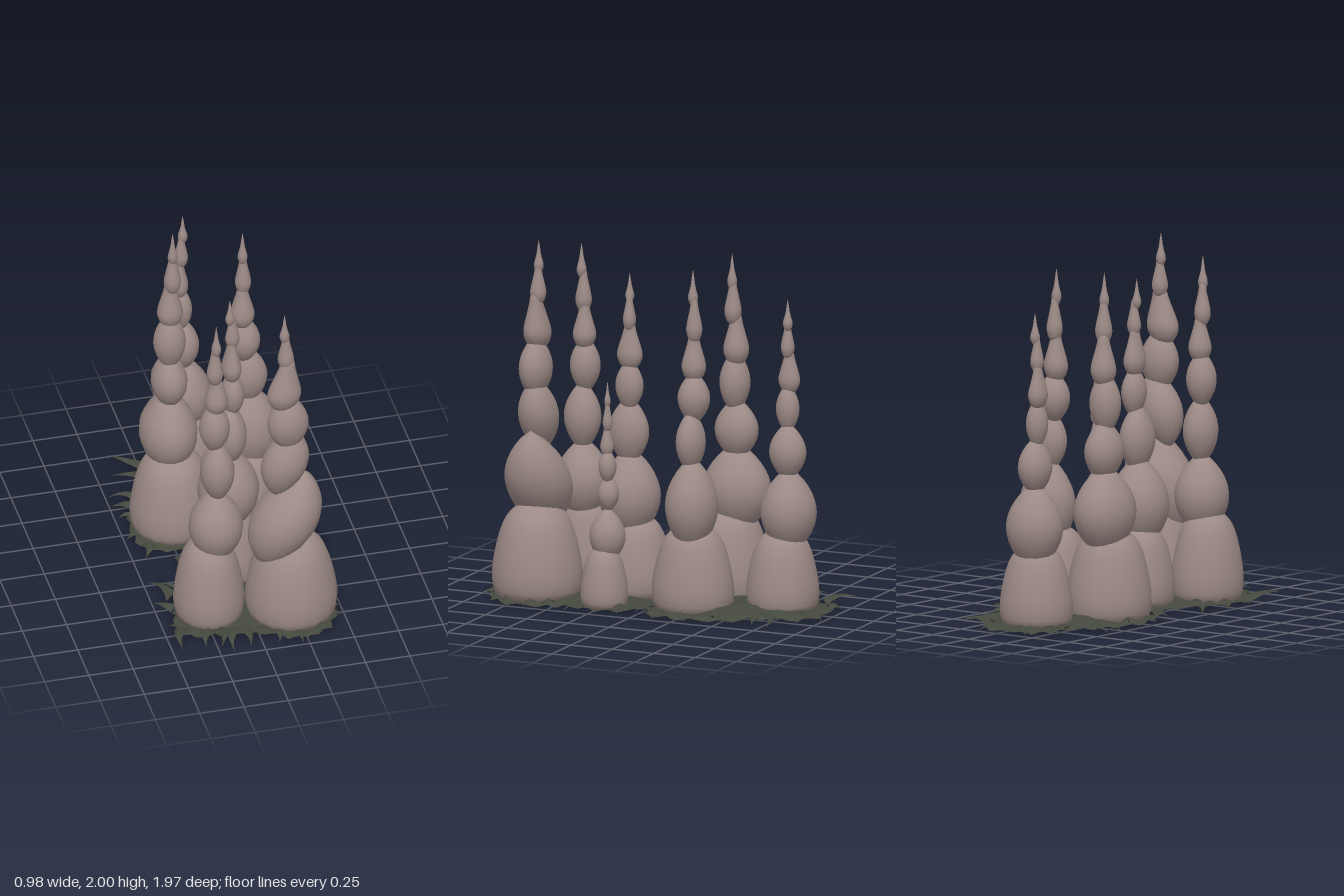
import * as THREE from 'three';

const stone = new THREE.MeshStandardMaterial({ color: 0x9c8a86 });
const moss = new THREE.MeshStandardMaterial({ color: 0x45483d, side: THREE.DoubleSide });

const SIDES = 18;
const spline = (points, n) =>
  new THREE.SplineCurve(points.map(([r, y]) => new THREE.Vector2(r, y))).getPoints(n);

// Profiles are unit radius by unit height
const basePoints = spline([[0.78, 0], [0.95, 0.07], [1, 0.24], [0.94, 0.46], [0.81, 0.7],
  [0.64, 0.86], [0.38, 0.96], [0, 1]], 16);
const bulbPoints = Array.from({ length: 15 }, (_, i) =>
  new THREE.Vector2(Math.max(0, Math.sin(Math.PI * i / 14)) ** 0.75, i / 14));
const dropPoints = spline([[0, 0], [0.62, 0.09], [0.95, 0.24], [0.97, 0.38], [0.74, 0.58],
  [0.5, 0.78], [0.36, 0.93], [0, 1]], 14);
const tipPoints = spline([[0, 0], [0.6, 0.06], [1, 0.24], [0.72, 0.42], [0.42, 0.6], [0.24, 0.8], [0, 1]], 10);

// One swollen segment: y from, y to, centre x and z, radius along x and z, lean along x
function segment(name, points, [y0, y1, x, z, rx, rz = rx, lean = 0], turn) {
  const g = new THREE.LatheGeometry(points, SIDES);
  g.rotateY(turn);
  g.scale(rx, y1 - y0, rz);
  g.applyMatrix4(new THREE.Matrix4().makeShear(0, 0, lean, 0, 0, 0));
  g.translate(x - lean * (y1 - y0) / 2, y0, z);
  const mesh = new THREE.Mesh(g, stone);
  mesh.name = name;
  return mesh;
}

// Stack of segments: a dome, round bulbs, teardrops and a pointed tip
function spire(name, rows) {
  const group = new THREE.Group();
  group.name = name;
  rows.forEach((row, i) => {
    const last = i === rows.length - 1;
    const label = i === 0 ? 'base' : last ? 'tip' : 'bulb' + i;
    const points = i === 0 ? basePoints : last ? tipPoints : i < 4 ? bulbPoints : dropPoints;
    group.add(segment(label, points, row, i * 0.7));
  });
  return group;
}

// Mossy mat: a closed outline filled by rings that rise toward the middle
function mat(name, outline, center, rise) {
  const curve = new THREE.CatmullRomCurve3(outline.map(([x, z]) => new THREE.Vector3(x, 0, z)), true);
  const n = 72, rings = 6, pos = [], index = [];
  for (let r = 0; r <= rings; r++) {
    for (let i = 0; i < n; i++) {
      const p = curve.getPoint(i / n);
      const k = r / rings;
      const ragged = r === 0 ? 1 + 0.03 * Math.sin(i * 2.4) : 1;
      const y = 0.012 + rise * Math.min(1, k * 3) + 0.008 * (1 - k) ** 2 * Math.sin(i * 1.7 + r * 2);
      pos.push(center[0] + (p.x - center[0]) * (1 - k) * ragged, y,
        center[1] + (p.z - center[1]) * (1 - k) * ragged);
      if (r < rings) {
        const a = r * n + i, b = r * n + (i + 1) % n;
        index.push(a, a + n, b, b, a + n, b + n);
      }
    }
  }
  const g = new THREE.BufferGeometry();
  g.setAttribute('position', new THREE.Float32BufferAttribute(pos, 3));
  g.setIndex(index);
  g.computeVertexNormals();
  const mesh = new THREE.Mesh(g, moss);
  mesh.name = name;
  return mesh;
}

// Curved blade of moss from a root to a pointed tip
function blade([rx, rz, tx, tz], i) {
  const dx = tx - rx, dz = tz - rz, len = Math.hypot(dx, dz);
  const nx = -dz / len, nz = dx / len, bend = (i % 2 ? 1 : -1) * len * 0.1;
  const pos = [], index = [], steps = 5;
  for (let s = 0; s <= steps; s++) {
    const t = s / steps, w = 0.045 * (1 - t) ** 1.3, b = bend * Math.sin(Math.PI * t);
    const x = rx + dx * t + nx * b, z = rz + dz * t + nz * b;
    const y = 0.035 + 0.02 * Math.sin(Math.PI * t) - 0.03 * t * (i % 3 ? 1 : 0);
    pos.push(x + nx * w, y - 0.015 * (1 - t), z + nz * w, x, y + 0.012 * (1 - t), z,
      x - nx * w, y - 0.015 * (1 - t), z - nz * w);
    if (s < steps) {
      for (let k = 0; k < 2; k++) {
        const a = s * 3 + k;
        index.push(a, a + 3, a + 1, a + 1, a + 3, a + 4);
      }
    }
  }
  const g = new THREE.BufferGeometry();
  g.setAttribute('position', new THREE.Float32BufferAttribute(pos, 3));
  g.setIndex(index);
  g.computeVertexNormals();
  const mesh = new THREE.Mesh(g, moss);
  mesh.name = 'mossBlade';
  return mesh;
}

export function createModel() {
  const model = new THREE.Group();
  model.name = 'spireCluster';

  model.add(spire('frontLeftSpire', [
    [0.01, 0.55, 0.222, 0.68, 0.255, 0.25], [0.34, 0.95, 0.185, 0.69, 0.19, 0.185, 0.34],
    [0.8, 1.24, 0.185, 0.69, 0.13, 0.11, 0.2], [1.1, 1.47, 0.2, 0.7, 0.115, 0.09],
    [1.37, 1.72, 0.185, 0.7, 0.095, 0.075, 0.1], [1.63, 1.87, 0.19, 0.69, 0.045, 0.045],
    [1.81, 2, 0.183, 0.69, 0.028]]));
  model.add(spire('frontRightSpire', [
    [0.01, 0.52, -0.22, 0.59, 0.195, 0.21], [0.35, 0.83, -0.18, 0.59, 0.15, 0.155],
    [0.75, 1.15, -0.172, 0.59, 0.095, 0.105], [1.07, 1.4, -0.185, 0.58, 0.085, 0.085],
    [1.32, 1.6, -0.175, 0.58, 0.065], [1.52, 1.78, -0.185, 0.59, 0.046],
    [1.72, 1.92, -0.18, 0.6, 0.028]]));
  model.add(spire('middleSpire', [
    [0.01, 0.47, -0.03, 0.21, 0.205, 0.215], [0.3, 0.84, -0.02, 0.235, 0.17, 0.172],
    [0.73, 1.13, -0.01, 0.235, 0.09, 0.115], [1.04, 1.34, 0.005, 0.225, 0.065, 0.08],
    [1.27, 1.56, 0, 0.225, 0.055, 0.074], [1.49, 1.71, 0.005, 0.225, 0.04, 0.036],
    [1.65, 1.82, -0.01, 0.23, 0.026]]));
  model.add(spire('smallSpire', [
    [0.01, 0.35, 0.3, 0.24, 0.135, 0.13], [0.24, 0.56, 0.28, 0.23, 0.1, 0.1],
    [0.53, 0.74, 0.27, 0.23, 0.06], [0.69, 0.89, 0.28, 0.23, 0.05],
    [0.84, 1.03, 0.275, 0.235, 0.038], [0.98, 1.16, 0.28, 0.23, 0.027],
    [1.12, 1.27, 0.28, 0.23, 0.018]]));
  model.add(spire('backLeftSpire', [
    [0.01, 0.5, 0.19, -0.245, 0.21, 0.23], [0.33, 0.88, 0.23, -0.255, 0.16, 0.145],
    [0.78, 1.14, 0.22, -0.245, 0.1, 0.08], [1.05, 1.35, 0.19, -0.25, 0.09, 0.09],
    [1.28, 1.58, 0.18, -0.245, 0.068], [1.5, 1.77, 0.185, -0.25, 0.045],
    [1.71, 1.92, 0.18, -0.24, 0.028]]));
  model.add(spire('backRightSpire', [
    [0.01, 0.53, -0.21, -0.27, 0.235, 0.24], [0.35, 0.88, -0.22, -0.32, 0.16, 0.195],
    [0.77, 1.13, -0.215, -0.32, 0.1, 0.125], [1.03, 1.4, -0.215, -0.31, 0.09, 0.085],
    [1.3, 1.62, -0.21, -0.32, 0.072], [1.53, 1.8, -0.2, -0.305, 0.048],
    [1.73, 1.94, -0.2, -0.3, 0.028]]));
  model.add(spire('rearSpire', [
    [0.01, 0.47, -0.03, -0.685, 0.205, 0.2], [0.31, 0.81, -0.04, -0.715, 0.16, 0.155],
    [0.73, 1.06, -0.04, -0.71, 0.09, 0.105], [0.99, 1.28, -0.05, -0.705, 0.06, 0.066],
    [1.21, 1.48, -0.06, -0.71, 0.05, 0.062], [1.41, 1.63, -0.05, -0.705, 0.038],
    [1.57, 1.75, -0.04, -0.71, 0.028]]));

  model.add(mat('backMat', [[-0.08, -0.95], [0.18, -0.9], [0.24, -0.68], [0.39, -0.51], [0.43, -0.3],
    [0.42, -0.08], [0.25, -0.02], [0.02, 0], [-0.22, -0.02], [-0.41, -0.1], [-0.44, -0.32],
    [-0.37, -0.53], [-0.26, -0.68], [-0.23, -0.86]], [0, -0.42], 0.05));
  model.add(mat('frontMat', [[-0.22, 0.02], [0.05, 0], [0.38, 0.09], [0.42, 0.26], [0.4, 0.42],
    [0.46, 0.55], [0.46, 0.76], [0.35, 0.91], [0.2, 0.94], [0.02, 0.85], [-0.2, 0.82],
    [-0.4, 0.76], [-0.41, 0.55], [-0.31, 0.4], [-0.26, 0.2]], [0.05, 0.45], 0.035));

  // Blades: root x, z then tip x, z
  const backBlades = [[-0.22, -0.84, -0.4, -0.98], [-0.12, -0.92, -0.18, -0.97], [0.08, -0.92, 0.13, -0.99],
    [0.13, -0.88, 0.34, -0.87], [0.2, -0.7, 0.42, -0.79], [0.22, -0.68, 0.39, -0.69], [-0.25, -0.76, -0.42, -0.78],
    [-0.33, -0.55, -0.49, -0.62], [-0.38, -0.5, -0.49, -0.53], [-0.4, -0.38, -0.49, -0.37],
    [-0.4, -0.25, -0.49, -0.2], [0.36, -0.48, 0.4, -0.56], [0.4, -0.42, 0.46, -0.47], [0.41, -0.27, 0.46, -0.32],
    [0.4, -0.15, 0.47, -0.12], [0.36, -0.07, 0.47, -0.02], [-0.38, -0.1, -0.43, 0]];
  const frontBlades = [[-0.24, 0.1, -0.29, 0.04], [-0.28, 0.38, -0.41, 0.28], [-0.38, 0.42, -0.48, 0.22],
    [-0.39, 0.52, -0.49, 0.42], [-0.4, 0.72, -0.45, 0.94], [-0.37, 0.72, -0.46, 0.65], [-0.27, 0.78, -0.31, 0.9],
    [-0.2, 0.78, -0.24, 0.96], [-0.12, 0.79, -0.17, 0.98], [-0.08, 0.8, -0.07, 0.95], [0.03, 0.82, -0.01, 0.92],
    [0.1, 0.86, 0.09, 0.95], [0.22, 0.9, 0.22, 0.98], [0.32, 0.88, 0.38, 0.93], [0.42, 0.75, 0.48, 0.78],
    [0.42, 0.62, 0.49, 0.65], [0.42, 0.52, 0.48, 0.47], [0.37, 0.36, 0.48, 0.41], [0.35, 0.12, 0.44, 0.1]];
  const fringe = new THREE.Group();
  fringe.name = 'mossFringe';
  [...backBlades, ...frontBlades].forEach((b, i) => fringe.add(blade(b, i)));
  model.add(fringe);

  return model;
}
